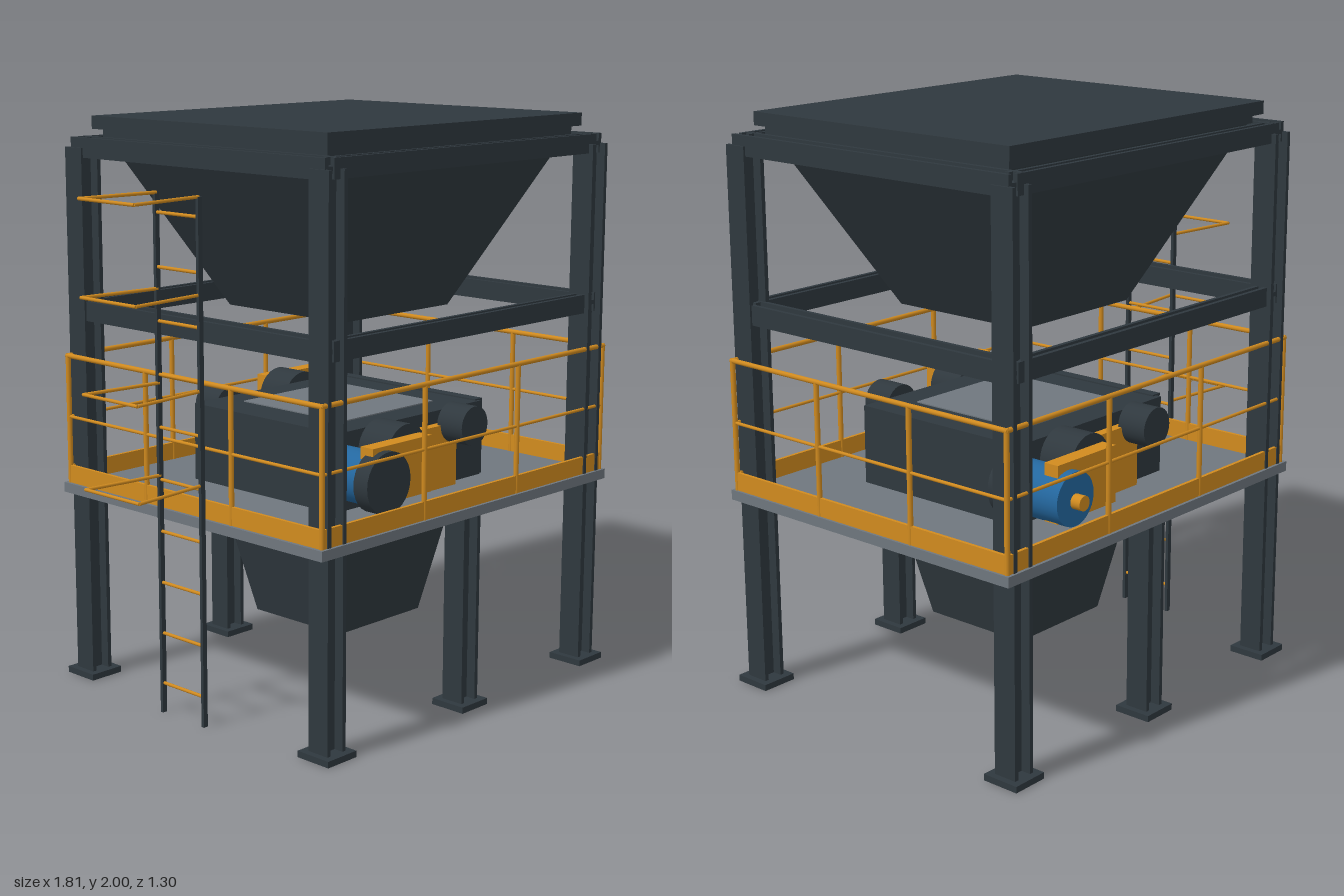
import * as THREE from 'three';

const mat = (name, color) => Object.assign(new THREE.MeshStandardMaterial({ color }), { name });

export function createModel() {
  const root = new THREE.Group();
  root.name = 'hopperTower';
  const dark = mat('charcoal steel', 0x2f383e);
  const orange = mat('safety orange', 0xd18b1f);
  const blue = mat('motor blue', 0x2468a0);
  const grey = mat('deck grey', 0x6f777e);
  const CX = 0.155, COLX = 0.667, COLZ = 0.58;

  const add = (name, geo, m, x, y, z, parent = root) => {
    const mesh = new THREE.Mesh(geo, m);
    mesh.name = name;
    mesh.position.set(x, y, z);
    parent.add(mesh);
    return mesh;
  };
  // box given by its min and max along each axis
  const box = (name, m, x0, x1, y0, y1, z0, z1, parent) =>
    add(name, new THREE.BoxGeometry(x1 - x0, y1 - y0, z1 - z0), m,
      (x0 + x1) / 2, (y0 + y1) / 2, (z0 + z1) / 2, parent);
  // round part along z
  const disc = (name, m, x, y, z0, z1, r, parent) => {
    const geo = new THREE.CylinderGeometry(r, r, z1 - z0, 28).rotateX(Math.PI / 2);
    return add(name, geo, m, x, y, (z0 + z1) / 2, parent);
  };
  // thin round bar between two points
  const bar = (name, m, a, b, r, parent) => {
    const p = new THREE.Vector3(...a), q = new THREE.Vector3(...b);
    const mesh = add(name, new THREE.CylinderGeometry(r, r, p.distanceTo(q), 8), m, 0, 0, 0, parent);
    mesh.position.copy(p).add(q).multiplyScalar(0.5);
    mesh.quaternion.setFromUnitVectors(new THREE.Vector3(0, 1, 0), q.sub(p).normalize());
    return mesh;
  };
  // H-section member of given length along its own y, flanges facing +-x
  const hSection = (name, len, w, d) => {
    const g = new THREE.Group(), t = 0.015;
    g.name = name;
    for (const s of [-1, 1]) add('flange', new THREE.BoxGeometry(t, len, d), dark, s * (w - t) / 2, 0, 0, g);
    add('web', new THREE.BoxGeometry(w - 2 * t, len, t), dark, 0, 0, 0, g);
    root.add(g);
    return g;
  };
  // closed tapered bin with half sizes at top and bottom
  const bin = (name, y0, y1, bx, bz, tx, tz) => {
    const geo = new THREE.BoxGeometry(2, y1 - y0, 2);
    const p = geo.attributes.position;
    for (let i = 0; i < p.count; i++) {
      const top = p.getY(i) > 0;
      p.setX(i, p.getX(i) * (top ? tx : bx));
      p.setZ(i, p.getZ(i) * (top ? tz : bz));
    }
    geo.computeVertexNormals();
    return add(name, geo, dark, CX, (y0 + y1) / 2, 0);
  };

  // columns with base plates: tall at the corners, short in the middle
  for (const sz of [-1, 1]) {
    for (const sx of [-1, 0, 1]) {
      const x = CX + sx * COLX, z = sz * COLZ, h = sx ? 1.894 : 0.68;
      hSection('column', h, 0.085, 0.085).position.set(x, h / 2, z);
      box('basePlate', dark, x - 0.066, x + 0.066, 0, 0.022, z - 0.068, z + 0.068);
    }
  }

  // beam rings tying the columns together
  for (const y of [1.332, 1.895]) {
    for (const s of [-1, 1]) {
      const long = hSection('longBeam', 2 * COLX, 0.05, 0.066);
      long.rotation.set(0, Math.PI / 2, Math.PI / 2, 'YXZ');
      long.rotation.set(Math.PI / 2, 0, Math.PI / 2, 'ZXY');
      long.quaternion.setFromRotationMatrix(new THREE.Matrix4().makeBasis(
        new THREE.Vector3(0, 0, 1), new THREE.Vector3(1, 0, 0), new THREE.Vector3(0, 1, 0)));
      long.position.set(CX, y, s * COLZ);
      const cross = hSection('crossBeam', 2 * COLZ + 0.04, 0.07, 0.068);
      cross.rotation.x = Math.PI / 2;
      cross.position.set(CX + s * COLX, y, 0);
    }
  }

  // feed hopper, its rim and its lid
  bin('feedHopper', 1.335, 1.93, 0.268, 0.273, 0.61, 0.52);
  box('hopperRim', dark, -0.462, 0.775, 1.925, 1.957, -0.53, 0.53);
  box('hopperLid', dark, -0.49, 0.8, 1.955, 2.0, -0.555, 0.555);

  // deck and discharge hopper
  box('deck', grey, -0.59, 0.9, 0.68, 0.715, -0.63, 0.63);
  bin('dischargeHopper', 0.215, 0.682, 0.208, 0.205, 0.314, 0.292);

  // guard rail: toe boards, posts, mid and top rails
  const rail = new THREE.Group();
  rail.name = 'guardRail';
  root.add(rail);
  const X0 = -0.572, X1 = 0.885, Z = 0.613;
  for (const s of [-1, 1]) {
    const x = s < 0 ? X0 : X1, z = s * Z;
    box('toeBoard', orange, X0, X1, 0.715, 0.778, z - 0.006, z + 0.006, rail);
    box('toeBoard', orange, x - 0.006, x + 0.006, 0.715, 0.778, -Z, Z, rail);
    for (const [y, r] of [[0.953, 0.006], [1.17, 0.009]]) {
      bar('rail', orange, [X0 - 0.006, y, z], [X1 + 0.006, y, z], r, rail);
      bar('rail', orange, [x, y, -Z - 0.006], [x, y, Z + 0.006], r, rail);
    }
    for (let i = 0; i < 4; i++) {
      const px = X0 + (X1 - X0) * i / 3;
      bar('post', orange, [px, 0.715, z], [px, 1.17, z], 0.009, rail);
    }
    for (const pz of [-0.207, 0.207]) bar('post', orange, [x, 0.715, pz], [x, 1.17, pz], 0.009, rail);
  }

  // crusher body with inlet plate and end flanges
  const crusher = new THREE.Group();
  crusher.name = 'crusher';
  root.add(crusher);
  box('crusherBody', dark, -0.215, 0.525, 0.715, 0.985, -0.35, 0.35, crusher);
  box('inletPlate', grey, -0.08, 0.39, 0.983, 0.989, -0.24, 0.24, crusher);
  for (const x of [-0.235, 0.505]) box('endFlange', dark, x, x + 0.04, 0.715, 0.99, -0.33, 0.34, crusher);

  // drives: the rear set sits diagonally opposite the front one
  for (const s of [1, -1]) {
    const at = (dx) => CX + s * dx;
    const span = (a, b) => (s > 0 ? [a, b] : [-b, -a]);
    const xs = (a, b) => [at(a), at(b)].sort((p, q) => p - q);
    box('bearingPanel', orange, ...xs(-0.155, 0.195), 0.715, 0.94, ...span(0.35, 0.385), crusher);
    disc('flywheel', dark, at(-0.2), 0.917, ...span(0.37, 0.5), 0.097, crusher);
    disc('shaftCover', dark, at(0.178), 0.942, ...span(0.37, 0.48), 0.07, crusher);
    box('beltGuard', orange, ...xs(-0.45, -0.162), 0.79, 0.983, ...span(0.52, 0.575), crusher);
    const x = at(-0.4), f = s > 0 ? 0.6 : -0.33;
    disc('motorFlange', dark, x, 0.865, f - 0.06, f, 0.105, crusher);
    disc('motor', blue, x, 0.868, f - 0.275, f - 0.06, 0.09, crusher);
    disc('motorShaft', orange, x, 0.862, f - 0.312, f - 0.275, 0.025, crusher);
  }

  // access ladder with open safety hoops
  const ladder = new THREE.Group();
  ladder.name = 'ladder';
  root.add(ladder);
  const LX = -0.605;
  for (const s of [-1, 1]) {
    box('stringer', dark, LX - 0.009, LX + 0.009, 0, 1.78, s * 0.102 - 0.006, s * 0.102 + 0.006, ladder);
  }
  for (let i = 0; i < 10; i++) {
    const y = 0.105 + i * 0.179;
    bar('rung', orange, [LX, y, -0.1], [LX, y, 0.1], 0.006, ladder);
  }
  for (let i = 0; i < 4; i++) {
    const y = 0.835 + i * 0.315;
    for (const s of [-1, 1]) bar('hoopSide', orange, [LX, y, s * 0.1], [-0.902, y, s * 0.13], 0.006, ladder);
    bar('hoopBack', orange, [-0.902, y, -0.133], [-0.902, y, 0.133], 0.006, ladder);
  }
  return root;
}
